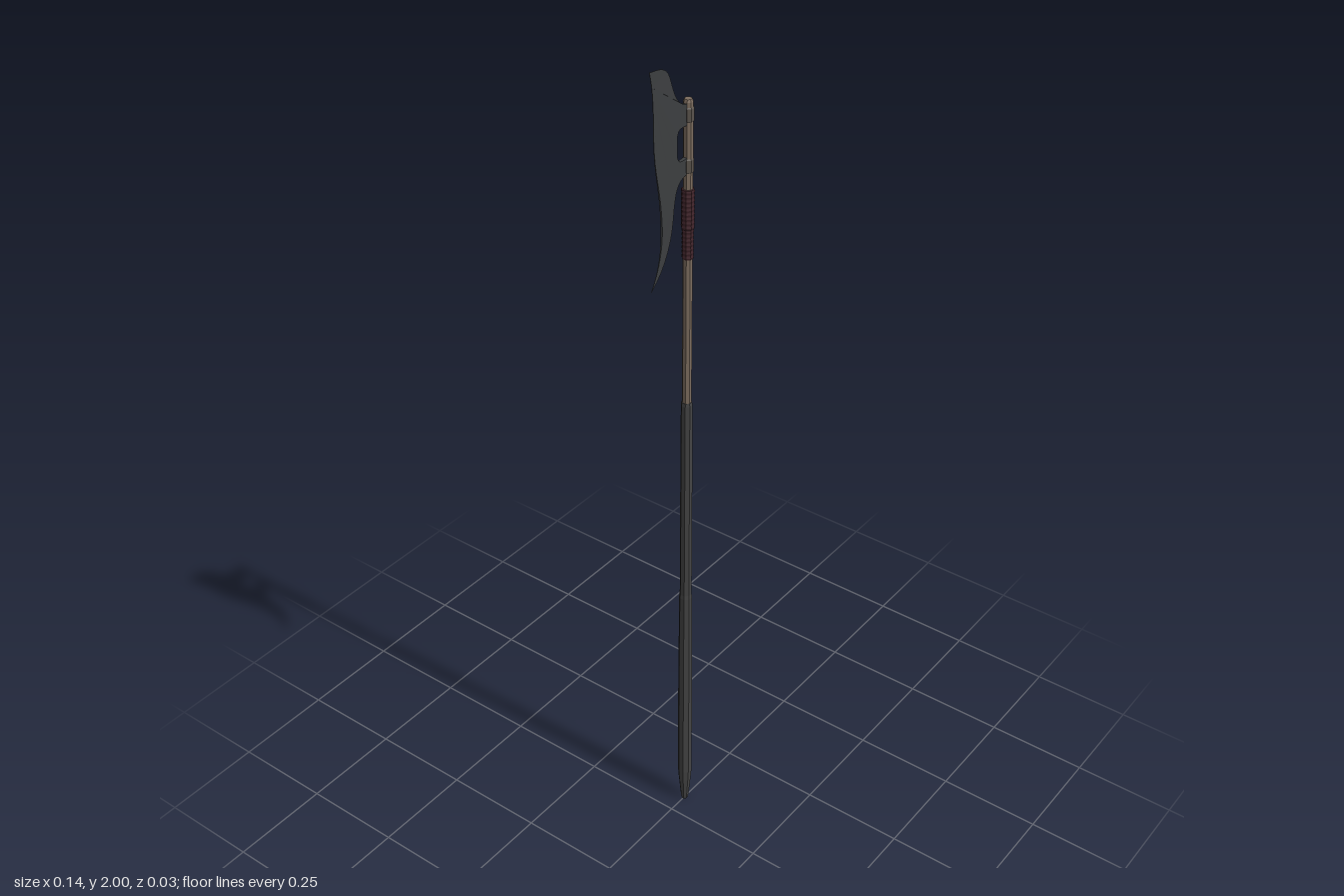
import * as THREE from 'three';

const mat = (name, color) => Object.assign(new THREE.MeshStandardMaterial({ color, flatShading: true }), { name });

export function createModel() {
  const grip = mat('dark grip', 0x444444);
  const wood = mat('pale wood', 0x7c6c5e);
  const cord = mat('dark red cord', 0x40242a);
  const steel = mat('dark steel', 0x3c3e40);
  const iron = mat('collar iron', 0x5a534c);

  const group = new THREE.Group();
  const SHAFT_X = 0.054;
  const add = (name, geometry, material, parent = group) => {
    const mesh = new THREE.Mesh(geometry, material);
    mesh.name = name;
    parent.add(mesh);
    return mesh;
  };

  // Eight-sided turned parts; radii are measured across the flats
  const pole = new THREE.Group();
  pole.name = 'pole';
  pole.position.x = SHAFT_X;
  pole.rotation.y = Math.PI / 8;
  group.add(pole);
  const turned = (name, profile, material) => add(name, new THREE.LatheGeometry(
    profile.map(([r, y]) => new THREE.Vector2(r / Math.cos(Math.PI / 8), y)), 8), material, pole);

  turned('lowerGrip', [[0, 0], [0.007, 0], [0.009, 0.012], [0.014, 0.07], [0.016, 0.1],
    [0.016, 0.35], [0.0145, 0.655], [0.0132, 0.665], [0.0128, 0.95], [0.0122, 1.19], [0.011, 1.198], [0, 1.198]], grip);
  turned('woodShaft', [[0.0098, 1.19], [0.0098, 1.898], [0.0075, 1.904], [0, 1.904]], wood);

  // Cord binding: one ridge per turn, thicker in the upper half
  const turns = 16, ridge = [[0.0095, 1.55]];
  for (let i = 0; i < turns; i++) {
    const y = 1.55 + i * 0.01, r = i < 7 ? 0.0122 : 0.0136;
    ridge.push([r - 0.001, y + 0.001], [r, y + 0.005], [r - 0.001, y + 0.009]);
  }
  ridge.push([0.0095, 1.71]);
  turned('cordBinding', ridge, cord);

  // Collars that hold the blade arms
  for (const [name, y, h] of [['upperCollar', 1.872, 0.032], ['lowerCollar', 1.762, 0.032]]) {
    turned(name, [[0.0095, y - h / 2], [0.0115, y - h / 2 + 0.003],
      [0.0115, y + h / 2 - 0.003], [0.0095, y + h / 2]], iron);
  }

  // Crescent blade with two arms reaching the shaft
  const s = new THREE.Shape();
  s.moveTo(-0.07, 2.0);
  s.bezierCurveTo(-0.055, 1.997, -0.025, 1.999, -0.012, 1.978);
  s.bezierCurveTo(0.002, 1.955, 0.0, 1.905, 0.046, 1.895);
  s.lineTo(0.046, 1.85);
  s.bezierCurveTo(0.02, 1.855, 0.014, 1.85, 0.013, 1.83);
  s.lineTo(0.013, 1.802);
  s.bezierCurveTo(0.014, 1.782, 0.02, 1.777, 0.046, 1.781);
  s.lineTo(0.046, 1.745);
  s.bezierCurveTo(0.012, 1.742, 0.008, 1.715, 0.003, 1.685);
  s.bezierCurveTo(-0.004, 1.62, -0.015, 1.565, -0.069, 1.525);
  s.bezierCurveTo(-0.042, 1.565, -0.032, 1.61, -0.034, 1.66);
  s.bezierCurveTo(-0.037, 1.74, -0.056, 1.78, -0.058, 1.85);
  s.bezierCurveTo(-0.059, 1.92, -0.058, 1.955, -0.07, 2.0);
  const blade = new THREE.ExtrudeGeometry(s, { depth: 1, bevelEnabled: false, curveSegments: 8 });
  // Thin the blade toward its cutting edge and both points
  const p = blade.attributes.position;
  for (let i = 0; i < p.count; i++) {
    const x = p.getX(i), y = p.getY(i);
    const tip = Math.min(1, (2.0 - y) / 0.09, (y - 1.525) / 0.12);
    const across = THREE.MathUtils.clamp((x + 0.06) / 0.055, 0, 1);
    const half = 0.0005 + 0.0035 * across * Math.max(0, tip);
    p.setZ(i, p.getZ(i) > 0.5 ? half : -half);
  }
  blade.computeVertexNormals();
  add('blade', blade, steel);

  return group;
}
